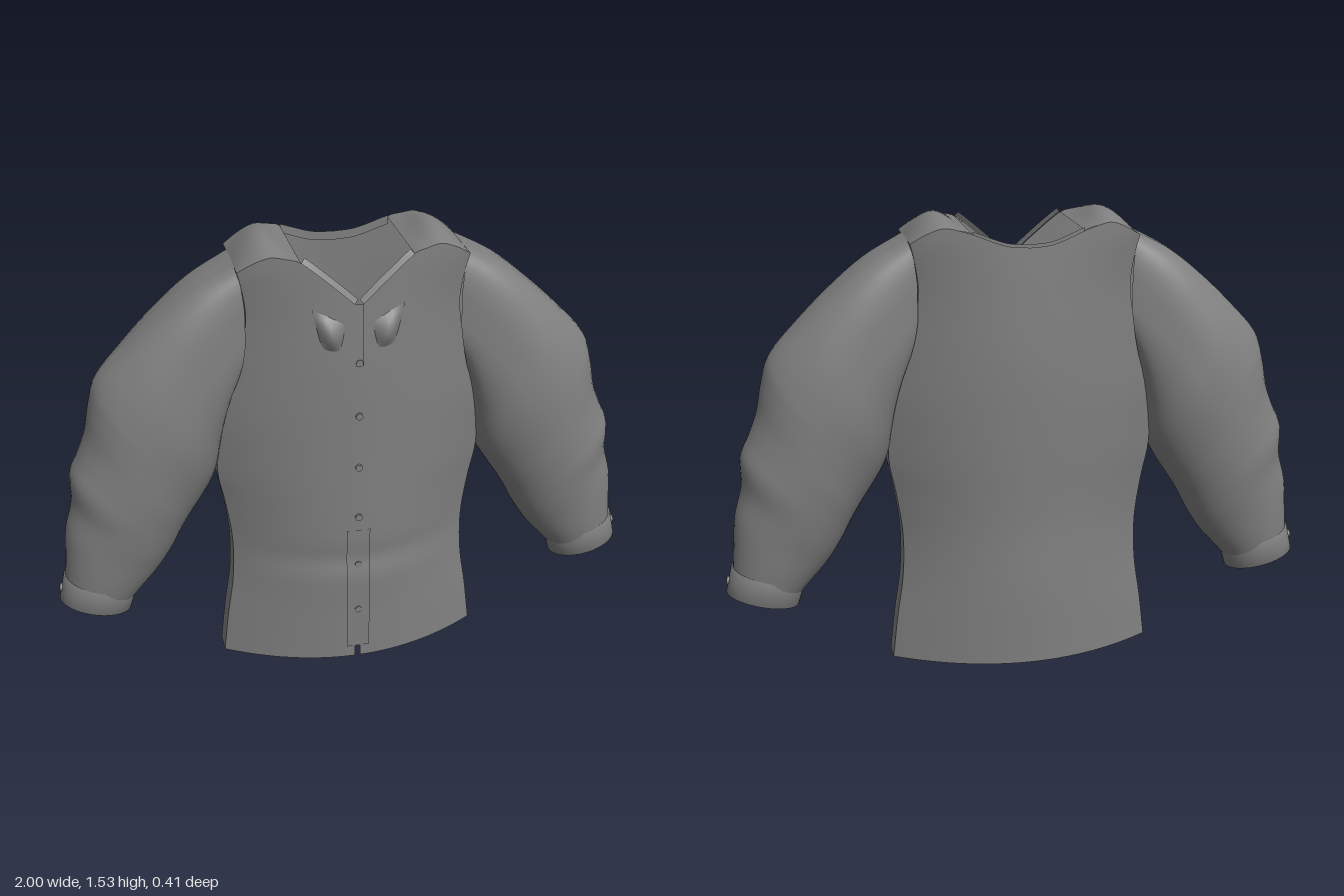
import * as THREE from 'three';

const cloth = new THREE.MeshStandardMaterial({ color: 0x808080, side: THREE.DoubleSide });
cloth.name = 'grey cloth';

// Smooth interpolation through [key, value] pairs
function table(rows) {
  const at = (i) => rows[Math.min(Math.max(i, 0), rows.length - 1)];
  return (k) => {
    if (k <= rows[0][0]) return rows[0][1];
    if (k >= at(rows.length)[0]) return at(rows.length)[1];
    const i = rows.findIndex((r) => r[0] > k) - 1;
    const slope = (j) => (at(j + 1)[1] - at(j - 1)[1]) / (at(j + 1)[0] - at(j - 1)[0]);
    const h = at(i + 1)[0] - at(i)[0], t = (k - at(i)[0]) / h, t2 = t * t, t3 = t2 * t;
    return (2 * t3 - 3 * t2 + 1) * at(i)[1] + (t3 - 2 * t2 + t) * h * slope(i)
      + (3 * t2 - 2 * t3) * at(i + 1)[1] + (t3 - t2) * h * slope(i + 1);
  };
}

// Surface from a rule: point(a, b) with a and b in 0..1
function sheet(name, na, nb, point) {
  const pos = [], index = [];
  for (let j = 0; j <= nb; j++) for (let i = 0; i <= na; i++) pos.push(...point(i / na, j / nb));
  for (let j = 0; j < nb; j++) {
    for (let i = 0; i < na; i++) {
      const p = j * (na + 1) + i, q = p + na + 1;
      index.push(p, p + 1, q, p + 1, q + 1, q);
    }
  }
  const geo = new THREE.BufferGeometry();
  geo.setAttribute('position', new THREE.Float32BufferAttribute(pos, 3));
  geo.setIndex(index);
  geo.computeVertexNormals();
  const mesh = new THREE.Mesh(geo, cloth);
  mesh.name = name;
  return mesh;
}

// Body outline: half width, edge depth and centre depths by height
const halfWidth = table([[0, 0.448], [0.15, 0.43], [0.3, 0.408], [0.45, 0.405], [0.6, 0.425], [0.72, 0.447],
  [0.85, 0.44], [0.97, 0.42], [1.1, 0.385], [1.2, 0.36], [1.3, 0.348], [1.4, 0.36], [1.46, 0.375]]);
const edgeDepth = table([[0, 0.038], [0.7, 0.042], [0.95, 0.075], [1.2, 0.11], [1.45, 0.13]]);
const frontDepth = table([[0, 0.18], [0.2, 0.184], [0.34, 0.188], [0.4, 0.178], [0.47, 0.185], [0.8, 0.188],
  [1.1, 0.19], [1.3, 0.186], [1.5, 0.18]]);
const backDepth = table([[0, 0.18], [0.25, 0.184], [0.5, 0.182], [0.8, 0.194], [1.05, 0.2], [1.3, 0.195], [1.5, 0.188]]);

// Top edges by distance from the centre (as a fraction of the shoulder width)
const shoulder = [[0.48, 1.485], [0.6, 1.498], [0.72, 1.505], [0.85, 1.488], [1, 1.455]];
const frontTop = table([[0, 1.33], [0.04, 1.34], [0.25, 1.41], ...shoulder]);
const backTop = table([[0, 1.44], [0.2, 1.447], ...shoulder]);

function bodyPoint(u, v, front) {
  const a = Math.abs(u);
  const y = v * (front ? frontTop : backTop)(a);
  const e = edgeDepth(y), c = (front ? frontDepth : backDepth)(y);
  const z = e + (c - e) * (1 - a * a);
  return [u * halfWidth(y), y, front ? z : -z];
}

// Sleeve sections: outer x, y, inner x, y, half depth
const sleeveRows = [
  [0.37, 1.46, 0.415, 0.965, 0.13], [0.5, 1.39, 0.43, 0.84, 0.15], [0.62, 1.295, 0.443, 0.75, 0.163],
  [0.73, 1.19, 0.465, 0.69, 0.172], [0.82, 1.09, 0.5, 0.63, 0.17], [0.85, 1.0, 0.53, 0.585, 0.166],
  [0.87, 0.9, 0.555, 0.545, 0.162], [0.9, 0.82, 0.58, 0.5, 0.156], [0.93, 0.75, 0.6, 0.46, 0.15],
  [0.932, 0.65, 0.63, 0.41, 0.138], [0.958, 0.55, 0.665, 0.36, 0.124], [0.968, 0.44, 0.71, 0.31, 0.112],
  [0.975, 0.35, 0.745, 0.27, 0.1]];
const sleeveCols = [0, 1, 2, 3, 4].map((c) => table(sleeveRows.map((r, i) => [i, r[c]])));

function sleevePoint(a, b) {
  const [ox, oy, ix, iy, d] = sleeveCols.map((f) => f(b * (sleeveRows.length - 1)));
  const ang = a * Math.PI * 2, cos = Math.cos(ang), sin = Math.sin(ang);
  // square top at the armhole, rounding off along the arm
  const n = cos > 0 ? 1 - 0.6 * Math.max(0, 1 - b * 3) : 1;
  const t = (1 - Math.sign(cos) * Math.abs(cos) ** n) / 2;
  const bow = 0.04 * Math.max(0, 1 - b * 8) * Math.sin(Math.PI * t);
  return [ox + (ix - ox) * t - bow, oy + (iy - oy) * t, d * Math.sign(sin) * Math.abs(sin) ** n];
}

function cuffPoint(a, b) {
  const ang = a * Math.PI * 2, t = (1 - Math.cos(ang)) / 2;
  // folded band: inner lip, outer face, inner lip
  const k = Math.min(Math.max(b * 2 - 0.5, 0), 1), lip = b === 0 || b === 1 ? 0.012 : 0;
  const ox = 0.98 + 0.02 * k - lip, oy = 0.368 - 0.088 * k;
  const ix = 0.735 + 0.025 * k + lip, iy = 0.305 - 0.085 * k;
  return [ox + (ix - ox) * t, oy + (iy - oy) * t, (0.105 - 0.008 * k - lip) * Math.sin(ang)];
}

// Thin vertical strip following the front of the body
function frontStrip(name, half, y0, y1, lift) {
  return sheet(name, 2, 16, (a, b) => {
    const y = y0 + (y1 - y0) * b;
    return [half * (2 * a - 1), y, frontDepth(y) + lift];
  });
}

function button(x, y, z, r) {
  const mesh = new THREE.Mesh(new THREE.CylinderGeometry(r, r, 0.008, 12), cloth);
  mesh.name = 'button';
  mesh.position.set(x, y, z);
  return mesh;
}

export function createModel() {
  const shirt = new THREE.Group();
  shirt.name = 'shirt';

  shirt.add(sheet('backPanel', 50, 48, (a, b) => bodyPoint(2 * a - 1, b, false)));
  // Stand along the back of the neck
  shirt.add(sheet('backCollar', 24, 1, (a, b) => {
    const p = bodyPoint(0.48 * (2 * a - 1), 1, false);
    return [p[0], p[1] + 0.008 - 0.03 * b, p[2] + 0.012];
  }));

  for (const s of [1, -1]) {
    const side = s > 0 ? 'left' : 'right';
    const mirrored = (p) => [s * p[0], p[1], p[2]];

    // Front half, leaving a narrow opening in the middle
    shirt.add(sheet(side + 'FrontPanel', 25, 48, (a, b) => {
      const p = bodyPoint(a, b, true);
      return mirrored([Math.max(p[0], 0.009), p[1], p[2]]);
    }));
    // Flat strip under the arm
    shirt.add(sheet(side + 'SidePanel', 2, 40, (a, b) => {
      const p = bodyPoint(1, b, true);
      return mirrored([p[0], p[1], p[2] * (1 - 2 * a)]);
    }));
    // Arched shoulder yoke
    shirt.add(sheet(side + 'Shoulder', 13, 12, (a, b) => {
      const u = 0.48 + 0.52 * a;
      const f = bodyPoint(u, 1, true), r = bodyPoint(u, 1, false);
      const arch = 0.028 * Math.sin(Math.PI * b) * Math.sin(Math.PI * Math.min(1, (1 - a) * 1.1 + 0.02));
      return mirrored([f[0], f[1] + arch, f[2] + (r[2] - f[2]) * b]);
    }));
    // Collar band along the V of the neck
    shirt.add(sheet(side + 'CollarBand', 12, 1, (a, b) => {
      const p = bodyPoint(0.04 + 0.44 * a, 1, true);
      return mirrored([p[0] - 0.012 * b, p[1] + 0.014 * b, p[2] + 0.004 - 0.01 * b]);
    }));

    shirt.add(sheet(side + 'Sleeve', 40, 48, (a, b) => mirrored(sleevePoint(a, b))));
    shirt.add(sheet(side + 'Cuff', 40, 4, (a, b) => mirrored(cuffPoint(a, b))));
    const cuffButton = button(s * 0.994, 0.32, 0, 0.014);
    cuffButton.rotation.z = Math.PI / 2 + s * 0.2;
    shirt.add(cuffButton);

    // Small puffed collar tip on the chest
    shirt.add(sheet(side + 'CollarTip', 8, 8, (a, b) => {
      const inner = 0.06 - 0.02 * b, outer = 0.118 + 0.032 * b;
      const x = inner + (outer - inner) * a;
      const y = 1.175 + b * (0.1 + 0.055 * a) + 0.015 * a * (1 - b);
      const puff = Math.sin(Math.PI * a) * Math.sin(Math.PI * b);
      return mirrored([x, y, 0.184 - 0.006 * a + 0.026 * puff]);
    }));
  }

  // Button band
  shirt.add(frontStrip('lowerPlacket', 0.04, 0.045, 0.52, 0.004));
  shirt.add(frontStrip('middlePlacket', 0.012, 0.5, 1.15, -0.002));
  shirt.add(frontStrip('upperPlacket', 0.014, 1.13, 1.34, 0.004));
  for (const y of [0.2, 0.38, 0.57, 0.76, 0.95, 1.14]) {
    const b = button(0, y, frontDepth(y) + 0.004, 0.012);
    b.rotation.x = Math.PI / 2;
    shirt.add(b);
  }
  return shirt;
}
